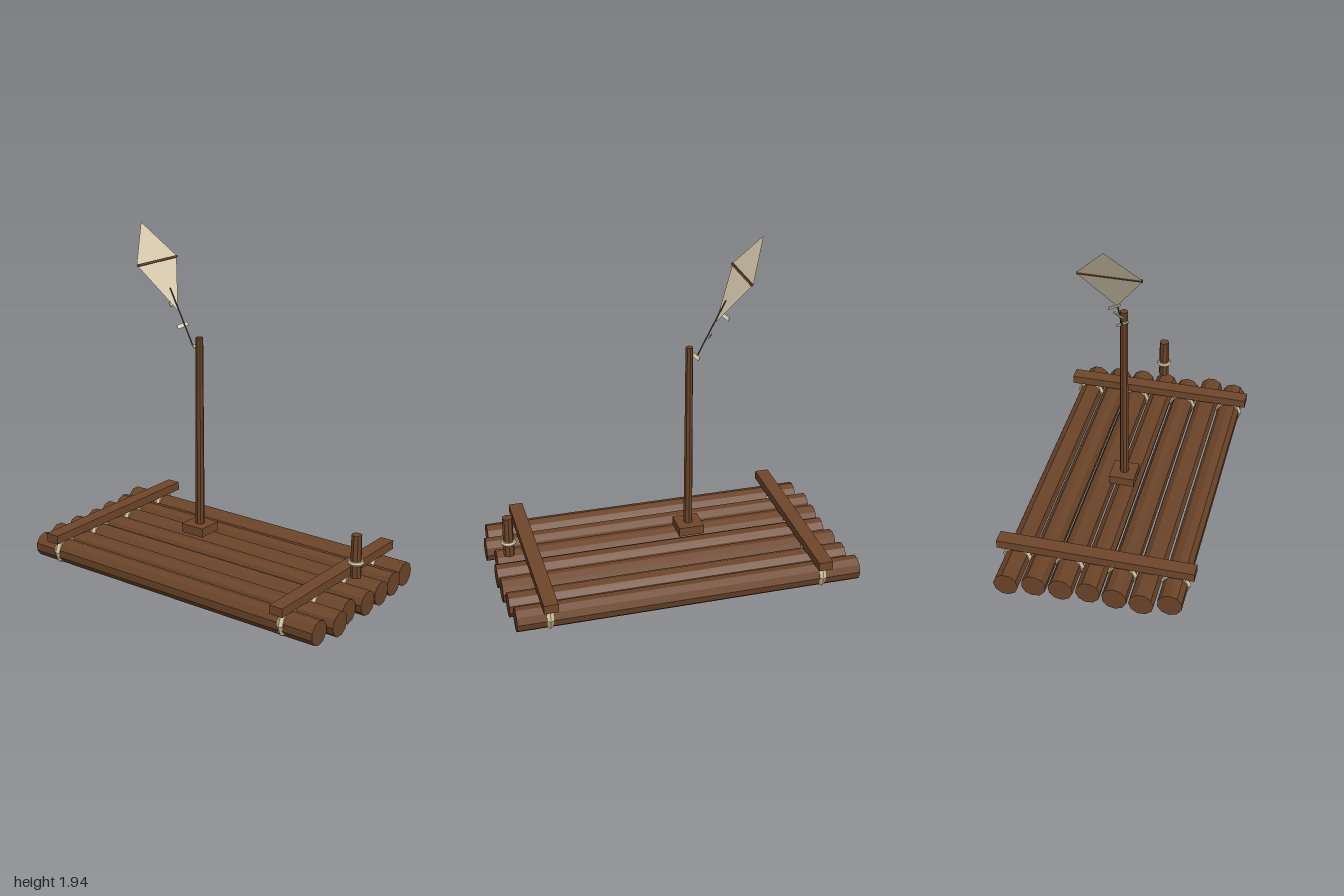
import * as THREE from 'three';

const material = (name, color) => {
  const m = new THREE.MeshStandardMaterial({ color, flatShading: true });
  m.name = name;
  return m;
};

export function createModel() {
  const raft = new THREE.Group();
  raft.name = 'raft';
  const logWood = material('log wood', 0x6b4429);
  const beamWood = material('beam wood', 0x70472b);
  const rope = material('rope', 0xcfc09a);
  const cloth = material('cloth', 0xddd0b4);
  const cord = material('cord', 0x5a5040);
  cloth.side = THREE.DoubleSide;

  const add = (name, geometry, mat, x = 0, y = 0, z = 0, parent = raft) => {
    const mesh = new THREE.Mesh(geometry, mat);
    mesh.name = name;
    mesh.position.set(x, y, z);
    parent.add(mesh);
    return mesh;
  };

  // Deck logs: back and front ends differ from log to log
  const ends = [
    [-0.94, 0.97], [-0.97, 1.0], [-0.965, 0.96], [-0.955, 0.985],
    [-0.97, 0.98], [-0.975, 0.97], [-1.0, 0.955],
  ];
  ends.forEach(([back, front], i) => {
    const geometry = new THREE.CylinderGeometry(0.069, 0.069, front - back, 10);
    geometry.rotateY(i * 0.9).rotateX(Math.PI / 2);
    add('log', geometry, logWood, (i - 3) * 0.148, 0.076, (front + back) / 2);
  });

  // Cross beams, lashed to every other log
  for (const z of [-0.775, 0.775]) {
    add('crossBeam', new THREE.BoxGeometry(1.1, 0.05, 0.08), beamWood, 0, 0.18, z);
    for (const i of [-3, -1, 1, 3]) {
      add('lashing', new THREE.TorusGeometry(0.063, 0.021, 6, 8), rope, i * 0.148, 0.084, z);
    }
  }

  // Mast on its foot block
  add('mastFoot', new THREE.BoxGeometry(0.144, 0.052, 0.146), beamWood, 0, 0.233, -0.137);
  add('mast', new THREE.CylinderGeometry(0.021, 0.026, 1.14, 8), logWood, 0, 0.78, -0.135);

  // Mooring post with a rope collar
  add('mooringPost', new THREE.CylinderGeometry(0.029, 0.031, 0.24, 8), logWood, 0, 0.327, 0.905);
  add('postRope', new THREE.TorusGeometry(0.032, 0.013, 6, 10).rotateX(Math.PI / 2),
    rope, 0, 0.29, 0.905);

  // Kite leaning back, pivoted at its lower tip
  const kite = new THREE.Group();
  kite.name = 'kite';
  kite.position.set(0, 1.478, -0.284);
  kite.rotation.x = -Math.atan2(0.256, 0.467);
  raft.add(kite);
  const sail = new THREE.Shape();
  sail.moveTo(0, 0);
  sail.lineTo(0.172, 0.303);
  sail.lineTo(0, 0.532);
  sail.lineTo(-0.172, 0.303);
  sail.closePath();
  add('sail', new THREE.ShapeGeometry(sail), cloth, 0, 0, 0, kite);
  add('spar', new THREE.BoxGeometry(0.336, 0.012, 0.012), logWood, 0, 0.297, 0.003, kite);

  // Cord from the mast up across the sail
  const cordPath = new THREE.LineCurve3(
    new THREE.Vector3(0, 1.29, -0.178), new THREE.Vector3(0, 1.6, -0.337));
  add('cord', new THREE.TubeGeometry(cordPath, 1, 0.004, 5), cord);

  // Tail ribbons, twisted alternately
  for (let i = 0; i < 3; i++) {
    const ribbon = add('tailRibbon', new THREE.BoxGeometry(0.066, 0.022, 0.005), cloth,
      0, 1.293 + i * 0.107, -0.17 - i * 0.082);
    ribbon.rotation.set(-0.5, (i % 2 ? -1 : 1) * 0.5, 0);
  }

  return raft;
}
